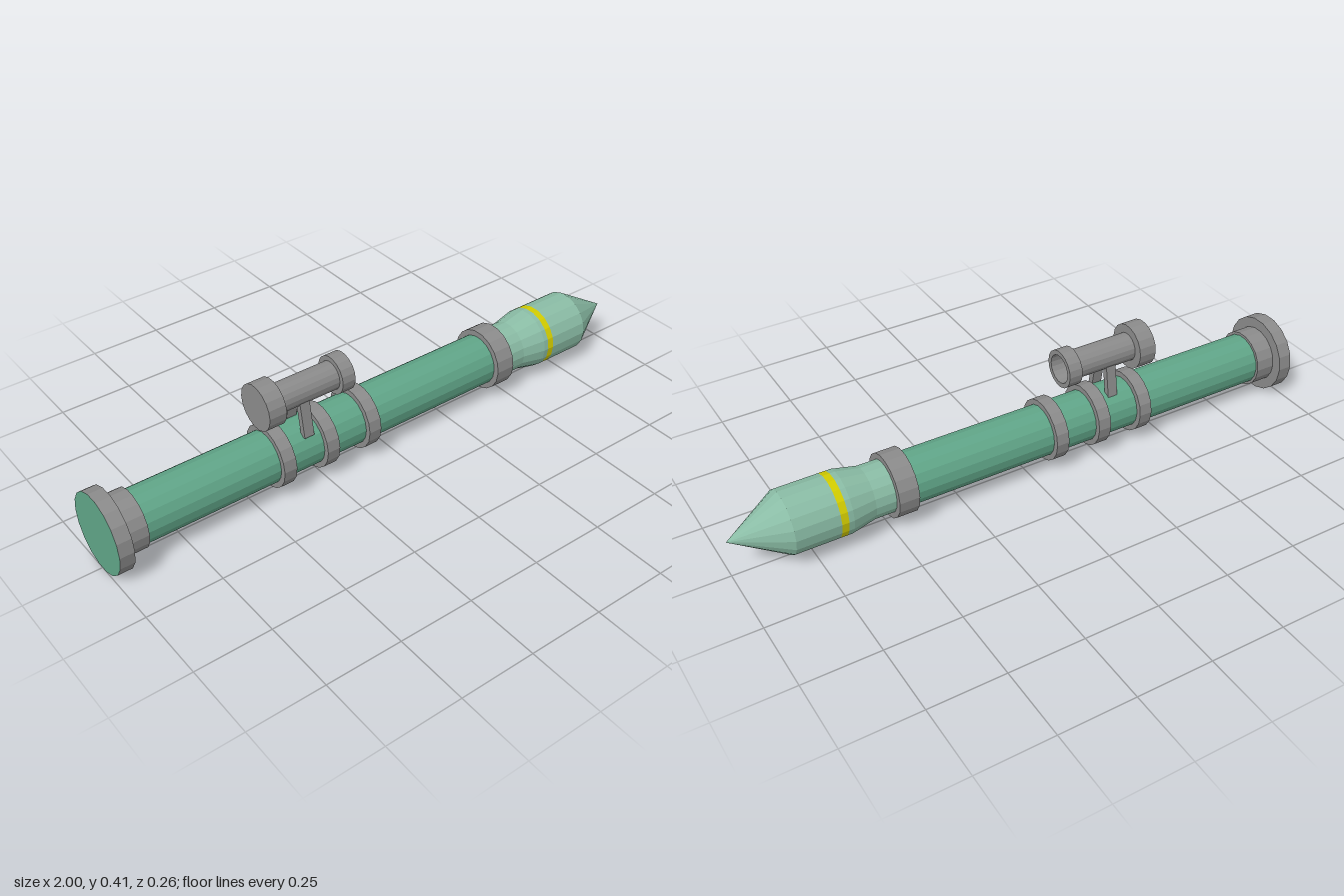
import * as THREE from 'three';

const SIDES = 18;
const AXIS_Y = 0.13;

export function createModel() {
  const model = new THREE.Group();
  model.name = 'rocketLauncher';

  const material = (name, color) => {
    const m = new THREE.MeshStandardMaterial({ color });
    m.name = name;
    return m;
  };
  const grey = material('greyMetal', 0x8b8b8b);
  const green = material('tubeGreen', 0x60a588);
  const paleGreen = material('warheadPaleGreen', 0x8abca5);
  const yellow = material('stripeYellow', 0xd2cc00);

  // faceted normals
  const facet = (geometry) => {
    const g = geometry.toNonIndexed();
    g.computeVertexNormals();
    return g;
  };

  // turned part along x; profile is a list of [x, radius]
  const turned = (name, mat, profile, y = AXIS_Y, z = 0) => {
    const points = profile.map(([x, r]) => new THREE.Vector2(r, x));
    const geometry = new THREE.LatheGeometry(points, SIDES);
    geometry.rotateZ(-Math.PI / 2);
    const mesh = new THREE.Mesh(facet(geometry), mat);
    mesh.name = name;
    mesh.position.set(0, y, z);
    model.add(mesh);
  };

  // collar closed at both ends
  const collar = (name, x0, x1, r) =>
    turned(name, grey, [[x0, 0], [x0, r], [x1, r], [x1, 0]]);

  // launch tube and its rear end
  turned('launchTube', green, [[-0.95, 0.0865], [0.46, 0.0865]]);
  turned('rearDisc', green, [[-1, 0], [-1, 0.1315]]);
  turned('rearFlange', grey, [
    [-1, 0.1315], [-0.952, 0.1315], [-0.952, 0.096], [-0.885, 0.096], [-0.885, 0.08],
  ]);

  // clamping bands
  [-0.43, -0.27, -0.11].forEach((x, i) => collar('band' + (i + 1), x, x + 0.045, 0.105));
  collar('muzzleBand', 0.425, 0.493, 0.106);

  // warhead with painted stripe
  turned('warheadNeck', paleGreen, [
    [0.48, 0.0865], [0.56, 0.0865], [0.64, 0.1035], [0.657, 0.1035],
  ]);
  turned('warheadStripe', yellow, [[0.657, 0.1035], [0.68, 0.1035]]);
  turned('warheadNose', paleGreen, [[0.68, 0.1035], [0.825, 0.1035], [1, 0]]);

  // hollow sight, open towards the front of the weapon
  turned('sight', grey, [
    [-0.46, 0], [-0.46, 0.0765], [-0.4, 0.0765], [-0.4, 0.0475],
    [-0.187, 0.0475], [-0.187, 0.064], [-0.14, 0.064], [-0.14, 0.048],
    [-0.398, 0.042], [-0.398, 0],
  ], 0.333, 0.01);

  // sight legs, leaning towards each other
  for (const side of [1, -1]) {
    const leg = new THREE.Mesh(new THREE.BoxGeometry(0.035, 0.15, 0.02), grey);
    leg.name = side > 0 ? 'sightLegFront' : 'sightLegBack';
    leg.position.set(-0.312, 0.264, 0.01 + side * 0.037);
    leg.rotation.x = -side * 0.163;
    model.add(leg);
  }

  return model;
}
